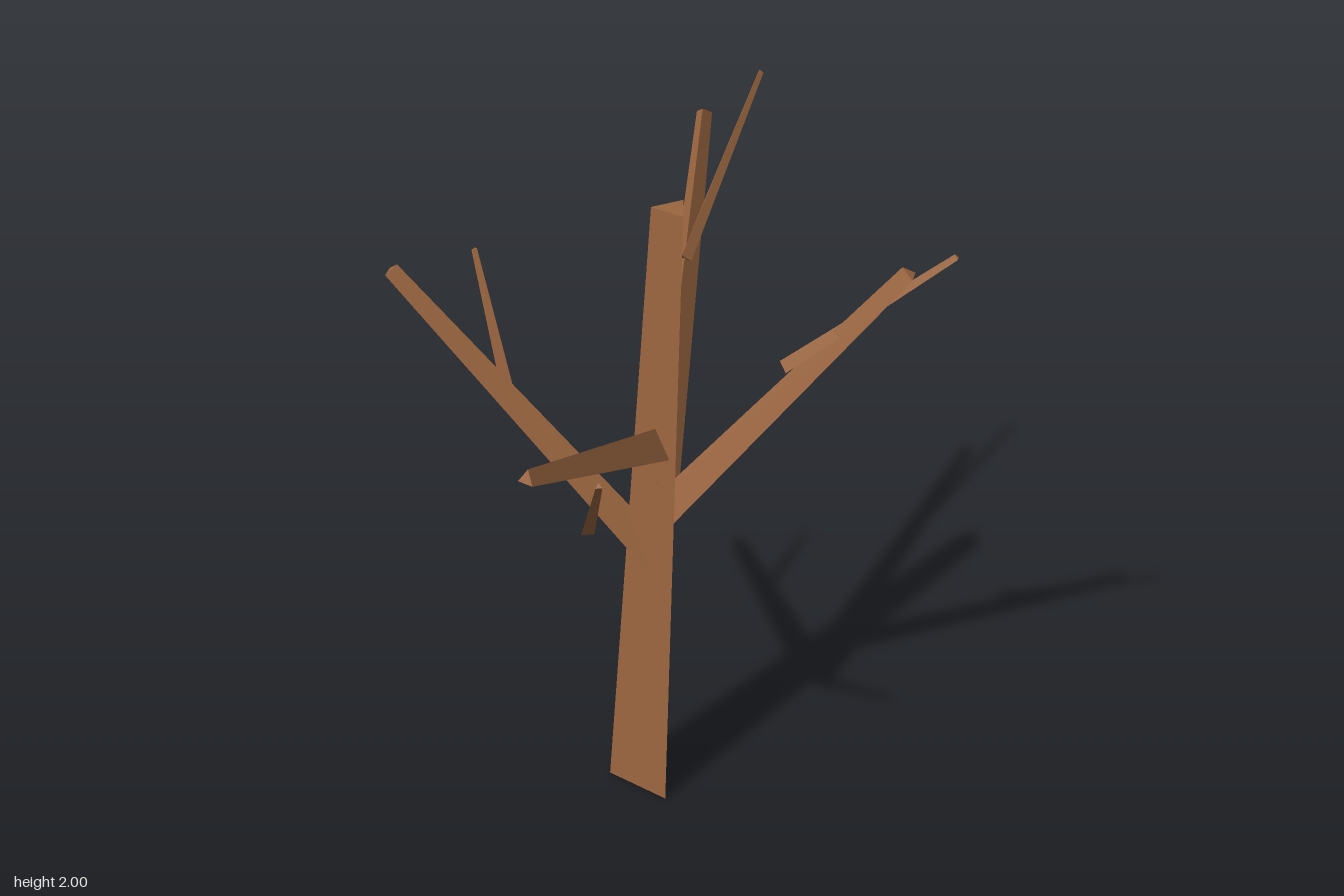
import * as THREE from 'three';

const bark = new THREE.MeshStandardMaterial({ color: 0x9c6640, flatShading: true });
bark.name = 'bark brown';

// Tapered three-sided limb from one point to another, ridge turned upward
function limb(name, from, to, r0, r1) {
  const a = new THREE.Vector3(...from);
  const b = new THREE.Vector3(...to);
  const dir = b.clone().sub(a);
  const length = dir.length();
  dir.normalize();
  const ridge = new THREE.Vector3(0, 1, 0).addScaledVector(dir, -dir.y).normalize();
  const side = dir.clone().cross(ridge);
  const mesh = new THREE.Mesh(new THREE.CylinderGeometry(r1, r0, length, 3), bark);
  mesh.name = name;
  mesh.quaternion.setFromRotationMatrix(new THREE.Matrix4().makeBasis(side, dir, ridge));
  mesh.position.copy(a).add(b).multiplyScalar(0.5);
  return mesh;
}

export function createModel() {
  const tree = new THREE.Group();
  tree.name = 'bareTree';
  tree.add(
    // Leaning trunk
    limb('trunk', [-0.037, 0.003, 0.04], [0.033, 1.935, 0.037], 0.115, 0.052),
    // Main branches, rooted on the trunk axis
    limb('rightBranch', [-0.006, 0.865, 0.04], [-0.69, 1.697, -0.047], 0.053, 0.024),
    limb('leftBranch', [0, 0.995, 0.04], [0.6, 1.853, 0.175], 0.054, 0.024),
    limb('backBranch', [0.004, 1.115, 0.04], [0.083, 1.932, -0.54], 0.054, 0.024),
    limb('frontBranch', [0.008, 1.245, 0.04], [-0.275, 1.495, 0.56], 0.053, 0.024),
    // Thin twigs
    limb('rightTwig', [-0.402, 1.375, -0.012], [-0.473, 1.755, -0.062], 0.02, 0.009),
    limb('leftTwig', [0.32, 1.54, 0.105], [0.701, 1.915, 0.203], 0.02, 0.009),
    limb('backTwig', [0.047, 1.625, -0.285], [0.23, 1.995, -0.665], 0.02, 0.009),
    limb('frontTwig', [-0.163, 1.175, 0.335], [-0.095, 1.555, 0.66], 0.02, 0.009),
  );
  return tree;
}
